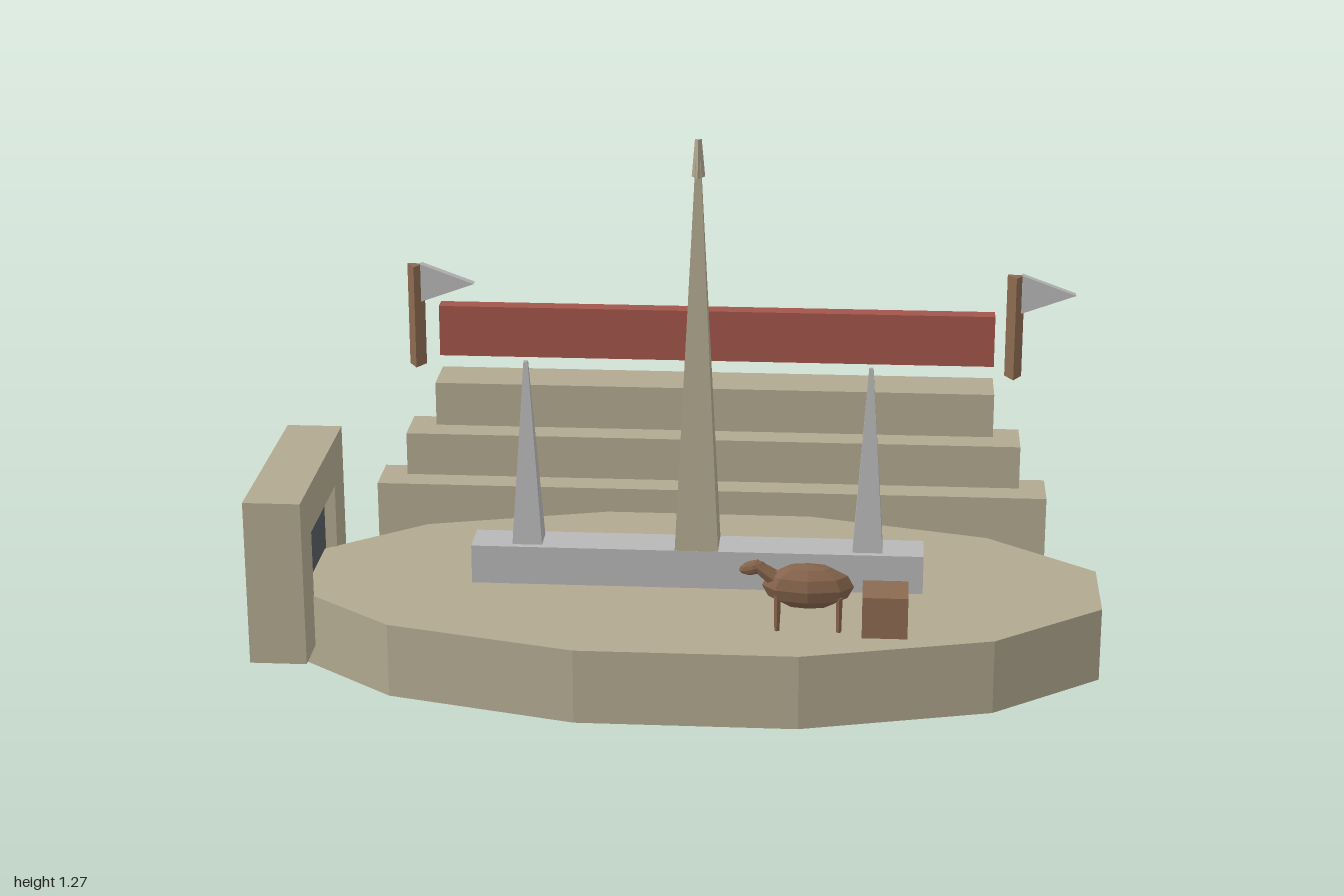
import * as THREE from 'three';

const mat = (name, color) => {
  const m = new THREE.MeshStandardMaterial({ color, flatShading: true });
  m.name = name;
  return m;
};

export function createModel() {
  const stone = mat('sandstone', 0xb1a88f);
  const marble = mat('grey marble', 0xb7b7b7);
  const red = mat('red awning', 0xa2544a);
  const wood = mat('brown wood', 0x8b6a51);
  const hide = mat('brown hide', 0x85634b);
  const dark = mat('dark gateway', 0x555b5f);

  const root = new THREE.Group();
  root.name = 'arena';
  const CX = 0.04, CZ = 0.161; // centre of the arena floor

  const add = (name, geo, material, x = 0, y = 0, z = 0, parent = root) => {
    const m = new THREE.Mesh(geo, material);
    m.name = name;
    m.position.set(x, y, z);
    parent.add(m);
    return m;
  };
  // Box given by its limits on each axis
  const block = (name, material, [x0, x1], [y0, y1], [z0, z1], parent = root) =>
    add(name, new THREE.BoxGeometry(x1 - x0, y1 - y0, z1 - z0), material,
      (x0 + x1) / 2, (y0 + y1) / 2, (z0 + z1) / 2, parent);
  // Square tapering pillar given by half widths
  const pillar = (name, material, x, y0, y1, half0, half1) => {
    const s = Math.SQRT2;
    const geo = new THREE.CylinderGeometry(half1 * s, half0 * s, y1 - y0, 4);
    geo.rotateY(Math.PI / 4);
    return add(name, geo, material, x, (y0 + y1) / 2, CZ);
  };

  // Twelve-sided oval floor
  const floor = new THREE.CylinderGeometry(1, 1, 0.18, 12, 1, false, Math.PI / 12);
  floor.scale(0.994, 1, 0.453);
  add('arenaFloor', floor, stone, CX, 0.09, CZ);

  // Central spine with obelisk and two spires
  block('spine', marble, [-0.5, 0.58], [0.18, 0.275], [CZ - 0.052, CZ + 0.052]);
  pillar('obelisk', stone, CX, 0.27, 1.22, 0.052, 0.006);
  add('obeliskCap', new THREE.CylinderGeometry(0.009, 0.018, 0.09, 3), stone, CX, 1.225, CZ);
  for (const side of [-1, 1]) pillar('spire', marble, CX + side * 0.407, 0.27, 0.727, 0.036, 0.005);

  // Stepped stands and the awning above them
  [[0.857, 0.228, -0.316], [0.79, 0.34, -0.388], [0.722, 0.455, -0.46]].forEach(([half, top, front]) =>
    block('standTier', stone, [CX - half, CX + half], [0.047, top], [front - 0.136, front]));
  block('awning', red, [CX - 0.722, CX + 0.722], [0.5, 0.635], [-0.597, -0.553]);

  // Flags on three-sided poles
  const pennant = new THREE.Shape([[0, -0.05], [0.137, 0], [0, 0.05]].map(p => new THREE.Vector2(...p)));
  for (const side of [-1, 1]) {
    const flag = new THREE.Group();
    flag.name = 'flag';
    flag.position.set(CX + side * 0.768, 0, -0.472);
    root.add(flag);
    add('flagPole', new THREE.CylinderGeometry(0.025, 0.025, 0.27, 3), wood, 0, 0.635, 0, flag);
    add('pennant', new THREE.ExtrudeGeometry(pennant, { depth: 0.024, bevelEnabled: false }),
      marble, 0.015, 0.724, -0.013, flag);
  }

  // Gate: two posts, lintel and recessed dark doorway
  const gate = new THREE.Group();
  gate.name = 'gate';
  root.add(gate);
  const gx = [-1, -0.865];
  block('gatePost', stone, gx, [0.052, 0.455], [0.315, 0.432], gate);
  block('gatePost', stone, gx, [0.052, 0.455], [-0.11, 0.007], gate);
  block('gateLintel', stone, gx, [0.34, 0.455], [0.007, 0.315], gate);
  block('gateDoorway', dark, [-0.972, -0.893], [0.052, 0.34], [0.007, 0.315], gate);

  // Wooden cart box behind the animal
  block('cartBox', wood, [0.438, 0.543], [0.18, 0.28], [0.378, 0.484]);

  // Draught animal facing -x
  const animal = new THREE.Group();
  animal.name = 'animal';
  animal.position.set(0.312, 0, 0.43);
  root.add(animal);
  const blob = (name, x, y, rx, ry, rz) => {
    const geo = new THREE.SphereGeometry(1, 8, 6);
    geo.scale(rx, ry, rz);
    return add(name, geo, hide, x, y, 0, animal);
  };
  blob('body', 0, 0.284, 0.106, 0.054, 0.048);
  const neck = add('neck', new THREE.CylinderGeometry(0.013, 0.022, 0.08, 6), hide, -0.092, 0.312, 0, animal);
  neck.rotation.z = 0.95;
  blob('head', -0.128, 0.326, 0.032, 0.017, 0.015).rotation.z = 0.25;
  for (const x of [-0.07, 0.073])
    for (const z of [-0.022, 0.022])
      add('leg', new THREE.CylinderGeometry(0.008, 0.006, 0.085, 5), hide, x, 0.2225, z, animal);

  return root;
}
